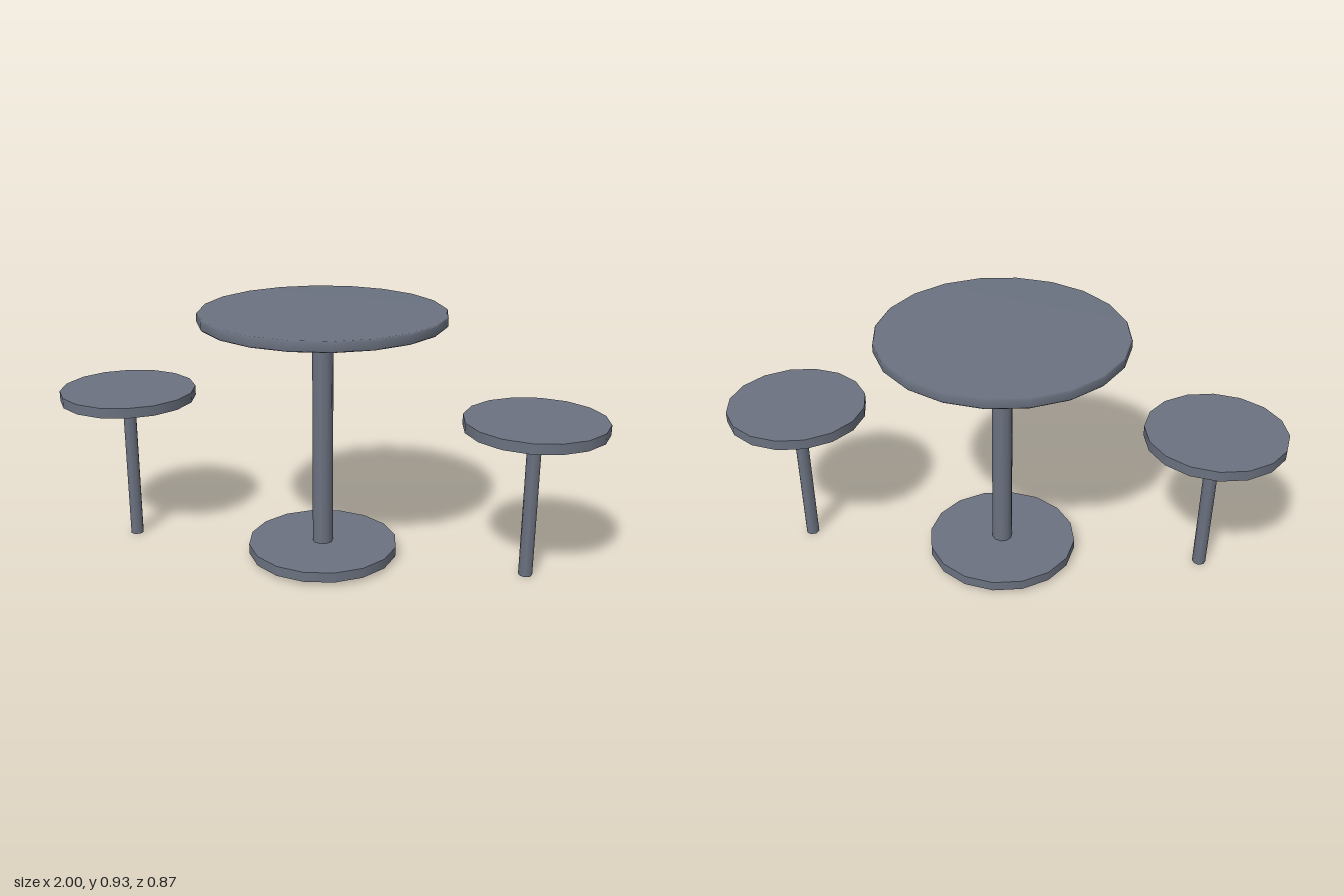
import * as THREE from 'three';

export function createModel() {
  const model = new THREE.Group();
  const metal = new THREE.MeshStandardMaterial({ color: 0x6b7280 });
  metal.name = 'greyMetal';

  // Upright cylinder between two heights
  function disc(name, radius, bottom, top, sides, parent) {
    const mesh = new THREE.Mesh(
      new THREE.CylinderGeometry(radius, radius, top - bottom, sides), metal);
    mesh.name = name;
    mesh.position.y = (top + bottom) / 2;
    parent.add(mesh);
    return mesh;
  }

  // Table: softly bevelled top, post and round foot
  const table = new THREE.Group();
  table.name = 'table';
  const profile = [
    [0, 0.888], [0.432, 0.888], [0.437, 0.893],
    [0.437, 0.92], [0.432, 0.925], [0, 0.925],
  ].map(([r, y]) => new THREE.Vector2(r, y));
  const tableTop = new THREE.Mesh(new THREE.LatheGeometry(profile, 20), metal);
  tableTop.name = 'tableTop';
  table.add(tableTop);
  disc('tablePost', 0.0375, 0.007, 0.9, 10, table);
  disc('tableFoot', 0.276, 0.014, 0.051, 16, table);
  model.add(table);

  // One stool on each side
  for (const side of [-1, 1]) {
    const stool = new THREE.Group();
    stool.name = side > 0 ? 'leftStool' : 'rightStool';
    disc('seat', 0.25, 0.551, 0.588, 16, stool);
    disc('stoolPost', 0.025, 0, 0.56, 8, stool);
    stool.position.x = side * 0.75;
    model.add(stool);
  }

  return model;
}
